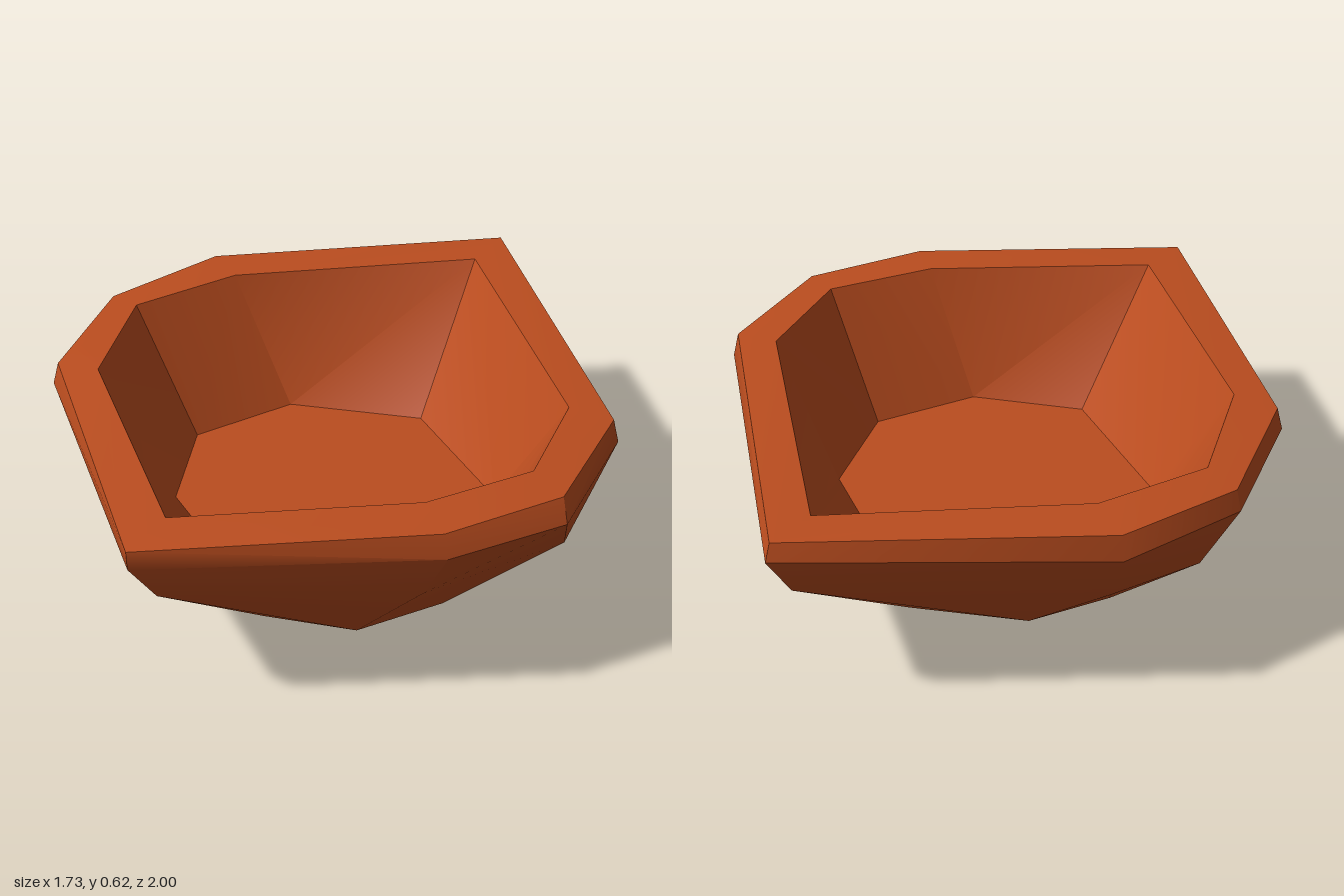
import * as THREE from 'three';
import { toCreasedNormals } from 'three/addons/utils/BufferGeometryUtils.js';

// Rings of eight corners [x, y, z], running clockwise seen from above, from the back corner
const at = (y, pts) => pts.map(([x, z]) => [x, y, z]);

const base = at(0, [[0, -0.395], [0.38, -0.2], [0.43, 0.07], [0.29, 0.32], [0.03, 0.42], [-0.3, 0.325], [-0.44, 0.01], [-0.315, -0.225]]);
const belly = [[-0.03, 0.41, -0.91], [0.685, 0.28, -0.27], [0.765, 0.31, -0.03], [0.58, 0.34, 0.42],
  [0.02, 0.38, 0.885], [-0.65, 0.3, 0.33], [-0.755, 0.3, -0.01], [-0.64, 0.3, -0.28]];
const lip = [[-0.03, 0.56, -1], [0.785, 0.525, -0.28], [0.863, 0.53, 0.155], [0.68, 0.53, 0.47],
  [0.02, 0.54, 0.995], [-0.745, 0.53, 0.41], [-0.867, 0.53, 0], [-0.745, 0.53, -0.38]];
const rimOuter = [[-0.03, 0.615, -0.98], [0.77, 0.6, -0.27], [0.833, 0.595, 0.13], [0.66, 0.6, 0.46],
  [0.02, 0.6, 0.997], [-0.73, 0.6, 0.4], [-0.85, 0.595, 0], [-0.73, 0.605, -0.37]];
const rimInner = at(0.61, [[-0.03, -0.82], [0.64, -0.24], [0.715, 0.09], [0.55, 0.38], [0.02, 0.83], [-0.6, 0.37], [-0.74, 0.02], [-0.6, -0.3]]);
const floor = at(0.2, [[0, -0.47], [0.41, -0.24], [0.52, 0.07], [0.37, 0.37], [0.05, 0.53], [-0.38, 0.31], [-0.53, 0.01], [-0.39, -0.3]]);

// Height of corner d over the plane of a, b, c
function heightOver(a, b, c, d) {
  const [p, q, r, s] = [a, b, c, d].map((k) => new THREE.Vector3(...k));
  return q.sub(p).cross(r.sub(p)).dot(s.sub(p));
}

// Join successive rings with quads, each folded outward (bulge 1) or inward (bulge -1)
function skin(rings, bulge) {
  const v = [];
  for (let r = 0; r + 1 < rings.length; r++) {
    const lo = rings[r], up = rings[r + 1];
    for (let i = 0; i < lo.length; i++) {
      const j = (i + 1) % lo.length;
      const a = lo[i], b = up[i], c = up[j], d = lo[j];
      if (heightOver(a, b, c, d) * bulge <= 0) v.push(a, b, c, a, c, d);
      else v.push(a, b, d, b, c, d);
    }
  }
  return v;
}

// Close a ring with a fan, facing up or down
function cap(ring, up) {
  const v = [];
  for (let i = 1; i + 1 < ring.length; i++) {
    v.push(ring[0], ring[up ? i + 1 : i], ring[up ? i : i + 1]);
  }
  return v;
}

function toMesh(name, corners, material) {
  const geo = new THREE.BufferGeometry();
  geo.setAttribute('position', new THREE.Float32BufferAttribute(corners.flat(), 3));
  const mesh = new THREE.Mesh(toCreasedNormals(geo, 0.55), material);
  mesh.name = name;
  return mesh;
}

export function createModel() {
  const clay = new THREE.MeshStandardMaterial({ color: 0xbb4d1f });
  clay.name = 'terracotta';

  const bowl = new THREE.Group();
  bowl.name = 'bowl';
  bowl.add(
    toMesh('outerWall', [...cap(base, false), ...skin([base, belly, lip, rimOuter], 1)], clay),
    toMesh('rim', skin([rimOuter, rimInner], 1), clay),
    toMesh('hollow', [...skin([rimInner, floor], -1), ...cap(floor, true)], clay),
  );
  return bowl;
}
